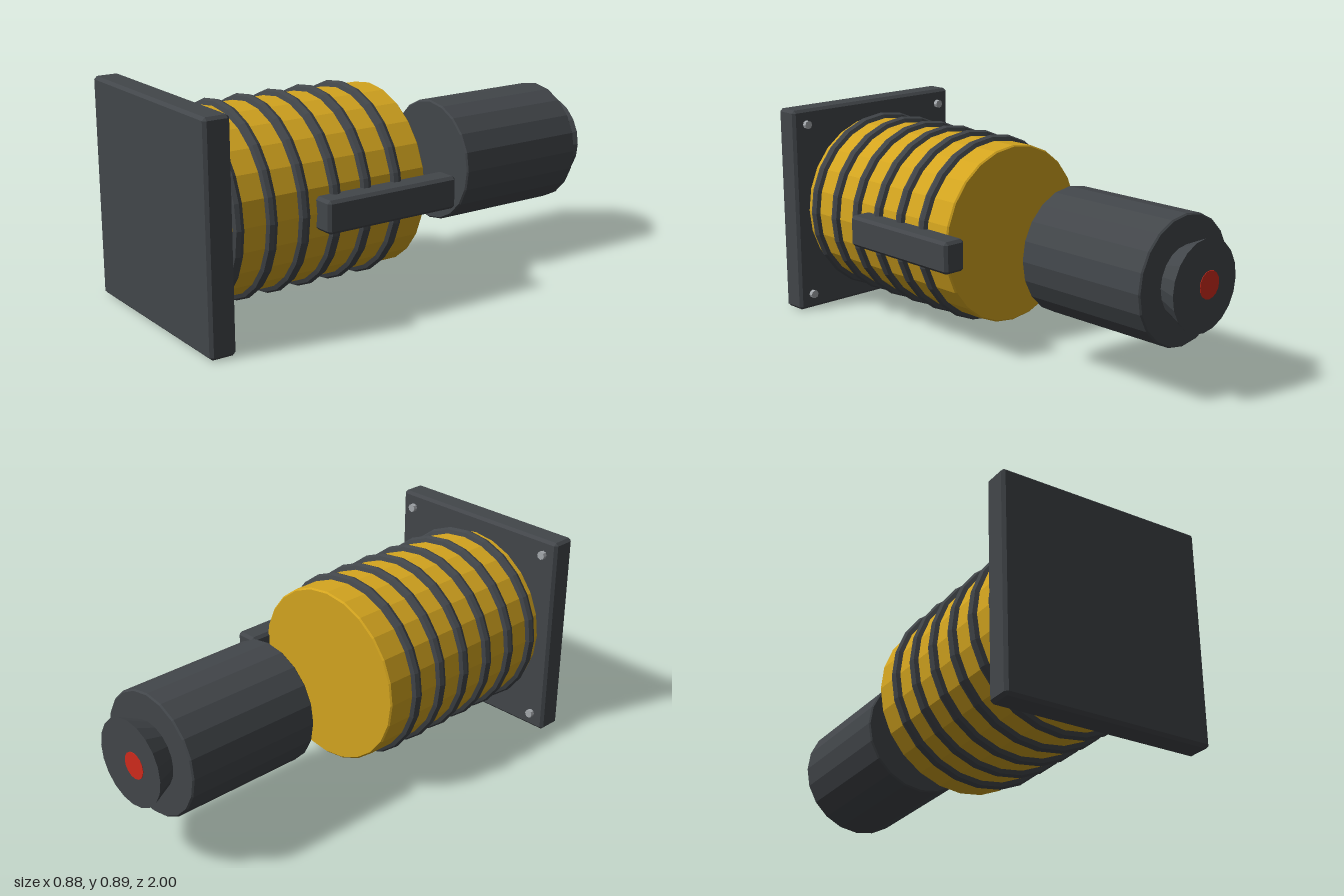
import * as THREE from 'three';
import { ConvexGeometry } from 'three/addons/geometries/ConvexGeometry.js';

const AXIS_X = -0.01;
const AXIS_Y = 0.445;

function flatMaterial(name, color) {
  const m = new THREE.MeshStandardMaterial({ color, flatShading: true });
  m.name = name;
  return m;
}

// Box with every edge cut by a small chamfer
function chamferBox(w, h, d, c) {
  const points = [];
  for (const x of [-w / 2, w / 2])
    for (const y of [-h / 2, h / 2])
      for (const z of [-d / 2, d / 2]) {
        const ix = x - Math.sign(x) * c, iy = y - Math.sign(y) * c, iz = z - Math.sign(z) * c;
        points.push(
          new THREE.Vector3(x, iy, iz),
          new THREE.Vector3(ix, y, iz),
          new THREE.Vector3(ix, iy, z)
        );
      }
  return new ConvexGeometry(points);
}

// Closed solid turned around the z axis, from [radius, z] pairs in rising z
function turned(profile, sides) {
  const points = profile.map(([r, z]) => new THREE.Vector2(r, z));
  return new THREE.LatheGeometry(points, sides).rotateX(Math.PI / 2);
}

// Drum with finely chamfered rims
function drum(r, z0, z1, sides) {
  const c = 0.006;
  return turned([[0, z0], [r - c, z0], [r, z0 + c], [r, z1 - c], [r - c, z1], [0, z1]], sides);
}

export function createModel() {
  const group = new THREE.Group();
  const dark = flatMaterial('dark grey', 0x42464a);
  const yellow = flatMaterial('yellow', 0xd4a51f);
  const steel = flatMaterial('steel', 0xa4a8ac);
  const red = flatMaterial('red', 0xd02a1c);

  const add = (name, geometry, material, x = AXIS_X, y = AXIS_Y, z = 0) => {
    const mesh = new THREE.Mesh(geometry, material);
    mesh.name = name;
    mesh.position.set(x, y, z);
    group.add(mesh);
  };

  // Square mounting plate at the front
  add('frontPlate', chamferBox(0.87, 0.89, 0.107, 0.012), dark, AXIS_X, AXIS_Y, 0.9465);

  // Bolts behind the four plate corners
  const bolt = new THREE.CylinderGeometry(0.018, 0.018, 0.03, 8).rotateX(Math.PI / 2);
  for (const sx of [-1, 1])
    for (const sy of [-1, 1])
      add('bolt', bolt, steel, AXIS_X + sx * 0.37, AXIS_Y + sy * 0.38, 0.89);

  // Yellow barrel with its ribs
  add('barrel', drum(0.37, -0.005, 0.9, 24), yellow);
  const rib = new THREE.TorusGeometry(0.37, 0.023, 8, 24);
  for (let i = 0; i < 6; i++) add('rib', rib, dark, AXIS_X, AXIS_Y, 0.136 + i * 0.1405);

  // Side rail
  add('sideRail', chamferBox(0.1, 0.13, 0.595, 0.012), dark, 0.39, 0.445, 0.2025);

  // Separate rear housing and flared end
  add('rearHousing', drum(0.255, -0.907, -0.312, 20), dark);
  add('flaredEnd', turned([[0, -0.998], [0.18, -0.998], [0.138, -0.905], [0, -0.905]], 20), dark);

  // Small red lamp on the end face
  const lamp = new THREE.CylinderGeometry(0.055, 0.055, 0.004, 16).rotateX(Math.PI / 2);
  add('rearLamp', lamp, red, -0.035, AXIS_Y, -0.998);

  return group;
}
